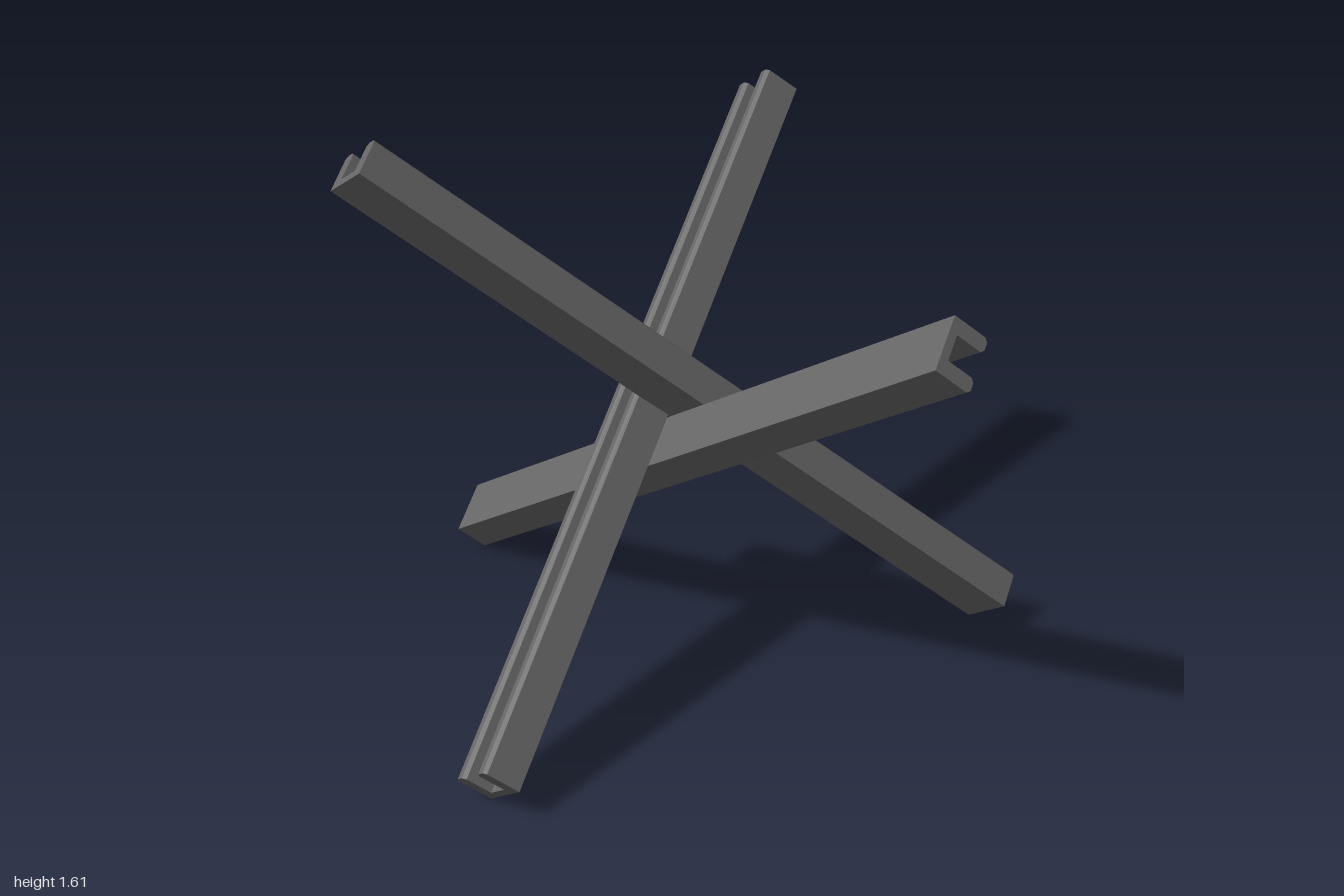
import * as THREE from 'three';

// Channel profile: x across the width, y towards the open side
function channelShape() {
  const w = 0.08, h = 0.056, inner = 0.037, floor = -0.032, c = 0.01;
  const half = [[w, -h], [w, h - c], [w - c, h], [inner + c, h], [inner, h - c], [inner, floor]];
  const mirrored = half.map(([x, y]) => [-x, y]).reverse();
  return new THREE.Shape([...half, ...mirrored].map(([x, y]) => new THREE.Vector2(x, y)));
}

// Straight steel channel from a to b, with its groove facing the open direction
function makeBeam(name, a, b, open, material) {
  const start = new THREE.Vector3(...a);
  const dir = new THREE.Vector3(...b).sub(start);
  const length = dir.length();
  dir.normalize();
  const up = new THREE.Vector3(...open);
  up.addScaledVector(dir, -up.dot(dir)).normalize();
  const side = new THREE.Vector3().crossVectors(up, dir);

  const geometry = new THREE.ExtrudeGeometry(channelShape(), { depth: length, bevelEnabled: false });
  geometry.applyMatrix4(new THREE.Matrix4().makeBasis(side, up, dir).setPosition(start));
  const mesh = new THREE.Mesh(geometry, material);
  mesh.name = name;
  return mesh;
}

export function createModel() {
  const group = new THREE.Group();
  group.name = 'antiTankObstacle';
  const steel = new THREE.MeshStandardMaterial({ color: 0x666666 });
  steel.name = 'dark grey steel';

  // Three crossed beams: lower end, upper end, open side of the channel
  const beams = [
    ['sidewaysBeam', [-0.956, 0.08, -0.195], [0.956, 1.31, 0.241], [0.535, -0.638, -0.554]],
    ['lengthwiseBeam', [0, 0.078, 0.93], [-0.41, 1.377, -0.935], [-0.574, 0.602, 0.552]],
    ['diagonalBeam', [0.565, 0.076, -0.70], [-0.672, 1.54, 0.585], [-0.193, 0.549, -0.81]],
  ];
  for (const [name, a, b, open] of beams) group.add(makeBeam(name, a, b, open, steel));
  return group;
}
